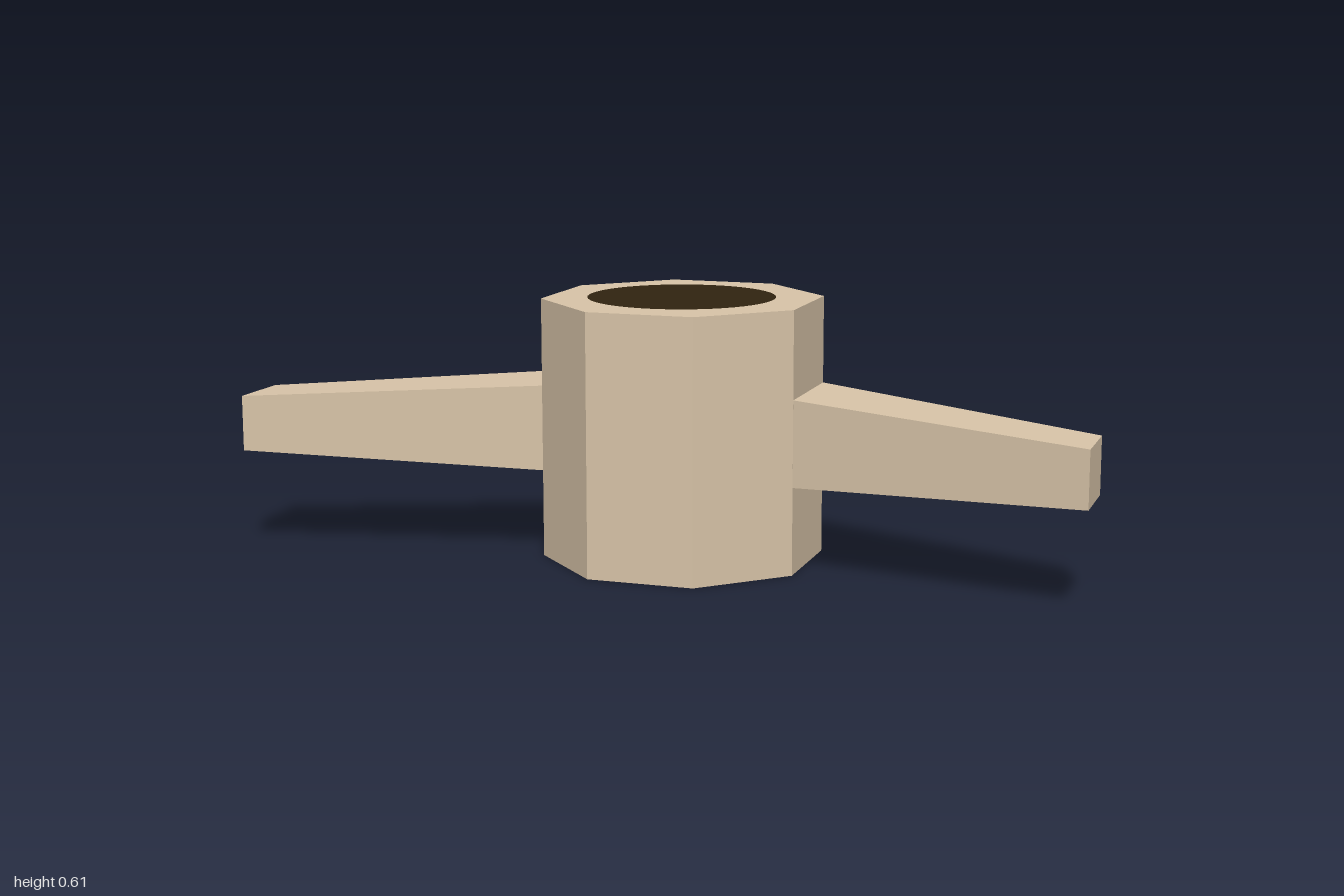
import * as THREE from 'three';

export function createModel() {
  const model = new THREE.Group();
  const tan = new THREE.MeshStandardMaterial({ color: 0xd8c4a8, flatShading: true });
  tan.name = 'tan';
  const dark = new THREE.MeshStandardMaterial({ color: 0x302310 });
  dark.name = 'darkBrown';

  const H = 0.612, APOTHEM = 0.305, CZ = 0.07;

  const add = (name, geometry, material) => {
    const mesh = new THREE.Mesh(geometry, material);
    mesh.name = name;
    model.add(mesh);
    return mesh;
  };

  // Box whose corners are moved by a rule of the corner signs
  const taperedBox = (rule) => {
    const g = new THREE.BoxGeometry(2, 2, 2);
    const p = g.attributes.position;
    for (let i = 0; i < p.count; i++) {
      p.setXYZ(i, ...rule(p.getX(i) > 0, p.getY(i) > 0, p.getZ(i) > 0));
    }
    g.computeVertexNormals();
    return g;
  };

  // Octagonal hub
  const hub = new THREE.CylinderGeometry(APOTHEM / Math.cos(Math.PI / 8), APOTHEM / Math.cos(Math.PI / 8), H, 8);
  hub.rotateY(Math.PI / 8);
  add('hub', hub, tan).position.set(0, H / 2, CZ);

  // Painted bore discs on both ends
  for (const [name, y, turn] of [['topBore', H + 0.001, -1], ['bottomBore', -0.001, 1]]) {
    const disc = new THREE.CircleGeometry(0.22, 48).rotateX(turn * Math.PI / 2);
    add(name, disc, dark).position.set(-0.005, y, 0.065);
  }

  // Swept tapering arms
  for (const [name, side] of [['leftArm', 1], ['rightArm', -1]]) {
    add(name, taperedBox((px, up, front) => {
      const tip = px === (side > 0);
      return tip
        ? [side, up ? 0.372 : 0.241, front ? 0.368 : 0.208]
        : [side * APOTHEM, up ? 0.407 : 0.205, front ? 0.196 : -0.056];
    }), tan);
  }

  // Short tapering stub at the back
  add('backStub', taperedBox((px, up, front) => {
    const x = front ? 0.126 : 0.1;
    return [px ? x : -x, up ? (front ? 0.407 : 0.387) : (front ? 0.205 : 0.225), front ? CZ - APOTHEM : -0.374];
  }), tan);

  return model;
}
